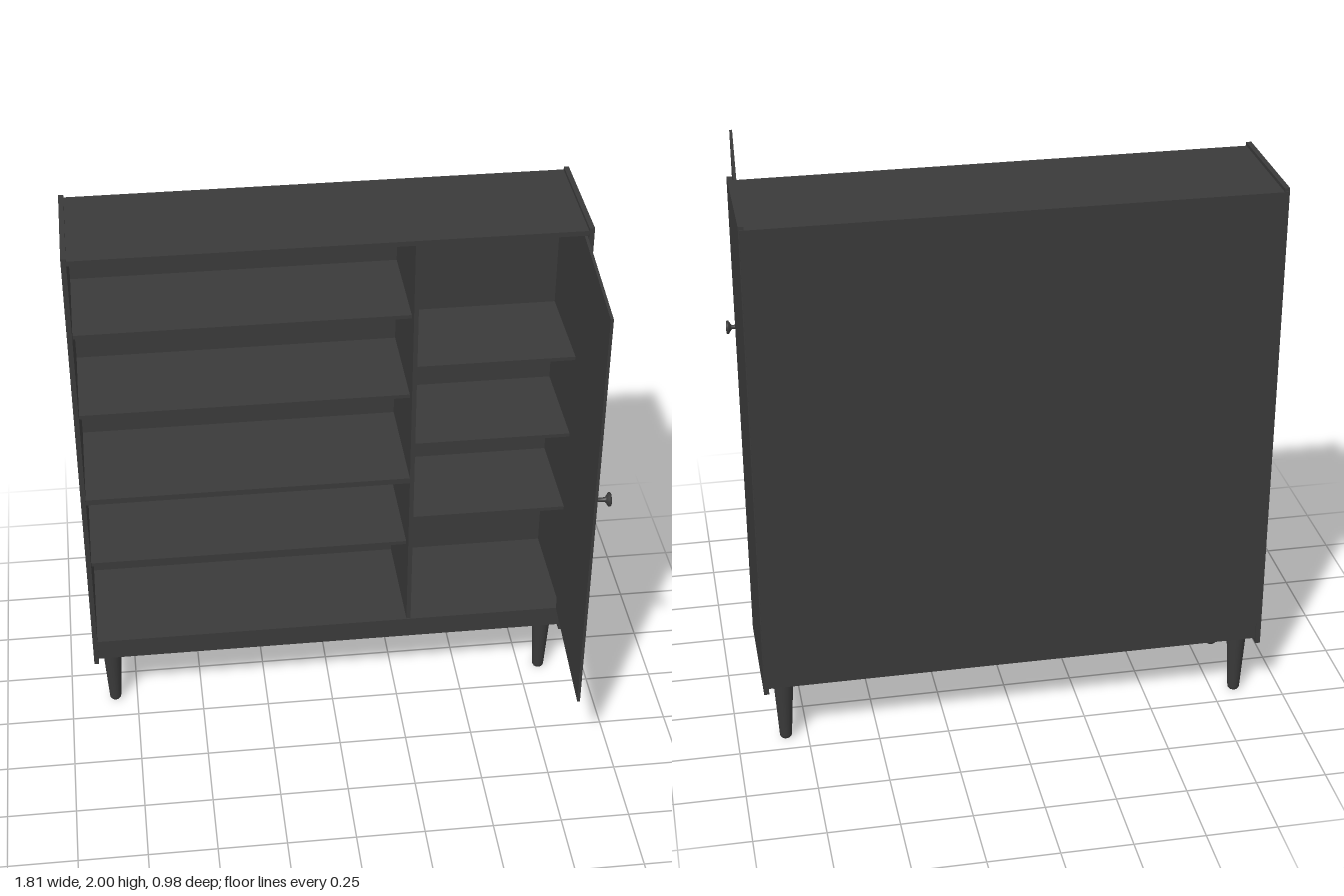
import * as THREE from 'three';

const finish = new THREE.MeshStandardMaterial({ color: 0x3a3a3a });
finish.name = 'charcoal finish';

// Box given by its lower and upper limits on each axis
function board(parent, name, [x0, x1], [y0, y1], [z0, z1]) {
  const mesh = new THREE.Mesh(new THREE.BoxGeometry(x1 - x0, y1 - y0, z1 - z0), finish);
  mesh.position.set((x0 + x1) / 2, (y0 + y1) / 2, (z0 + z1) / 2);
  mesh.name = name;
  parent.add(mesh);
  return mesh;
}

function turned(parent, name, profile, segments) {
  const points = profile.map(([r, y]) => new THREE.Vector2(r, y));
  const mesh = new THREE.Mesh(new THREE.LatheGeometry(points, segments), finish);
  mesh.name = name;
  parent.add(mesh);
  return mesh;
}

export function createModel() {
  const model = new THREE.Group();
  model.name = 'cabinet';

  const front = -0.044, back = -0.487;
  const inner = [-0.886, 0.884];
  const depth = [back, front - 0.004];

  // Carcass
  board(model, 'rightSidePanel', [-0.904, -0.886], [0.23, 2], [back, front]);
  board(model, 'leftSidePanel', [0.884, 0.902], [0.23, 2], [back, front]);
  board(model, 'topPanel', inner, [1.97, 1.988], depth);
  board(model, 'bottomPanel', inner, [0.315, 0.334], depth);
  board(model, 'backPanel', [-0.9, 0.898], [0.33, 1.988], [-0.49, -0.484]);
  board(model, 'divider', [0.29, 0.306], [0.334, 1.97], [-0.484, front - 0.008]);

  // Base rails under the bottom panel
  board(model, 'frontRail', inner, [0.25, 0.315], [front - 0.024, front - 0.006]);
  board(model, 'backRail', inner, [0.25, 0.315], [-0.482, -0.464]);

  // Shelves, the adjustable ones set back from the front
  const shelfDepth = [-0.484, front - 0.06];
  for (const y of [0.66, 1.321, 1.654])
    board(model, 'wideShelf', [-0.886, 0.29], [y - 0.007, y + 0.007], shelfDepth);
  board(model, 'fixedShelf', [-0.886, 0.29], [0.972, 0.994], [-0.484, front - 0.01]);
  for (const y of [0.771, 1.104, 1.437])
    board(model, 'narrowShelf', [0.306, 0.884], [y - 0.007, y + 0.007], shelfDepth);

  // Open door swung about its hinge line
  const door = new THREE.Group();
  door.name = 'door';
  door.position.set(0.874, 0, front - 0.002);
  door.rotation.y = -0.052;
  board(door, 'doorPanel', [-0.005, 0.005], [0.334, 1.97], [0, 0.536]);
  const knob = turned(door, 'knob', [
    [0, 0], [0.014, 0], [0.014, 0.003], [0.008, 0.006], [0.008, 0.033],
    [0.014, 0.038], [0.025, 0.045], [0.025, 0.051], [0.021, 0.054], [0, 0.055],
  ], 20);
  knob.rotation.z = -Math.PI / 2;
  knob.position.set(0.004, 1.221, 0.497);
  model.add(door);

  // Tapered legs
  for (const x of [-0.834, 0.828]) {
    for (const z of [-0.11, -0.42]) {
      const leg = turned(model, 'leg', [
        [0, 0], [0.017, 0], [0.021, 0.006], [0.022, 0.014], [0.036, 0.25], [0.039, 0.315],
      ], 16);
      leg.position.set(x, 0, z);
    }
  }
  return model;
}
